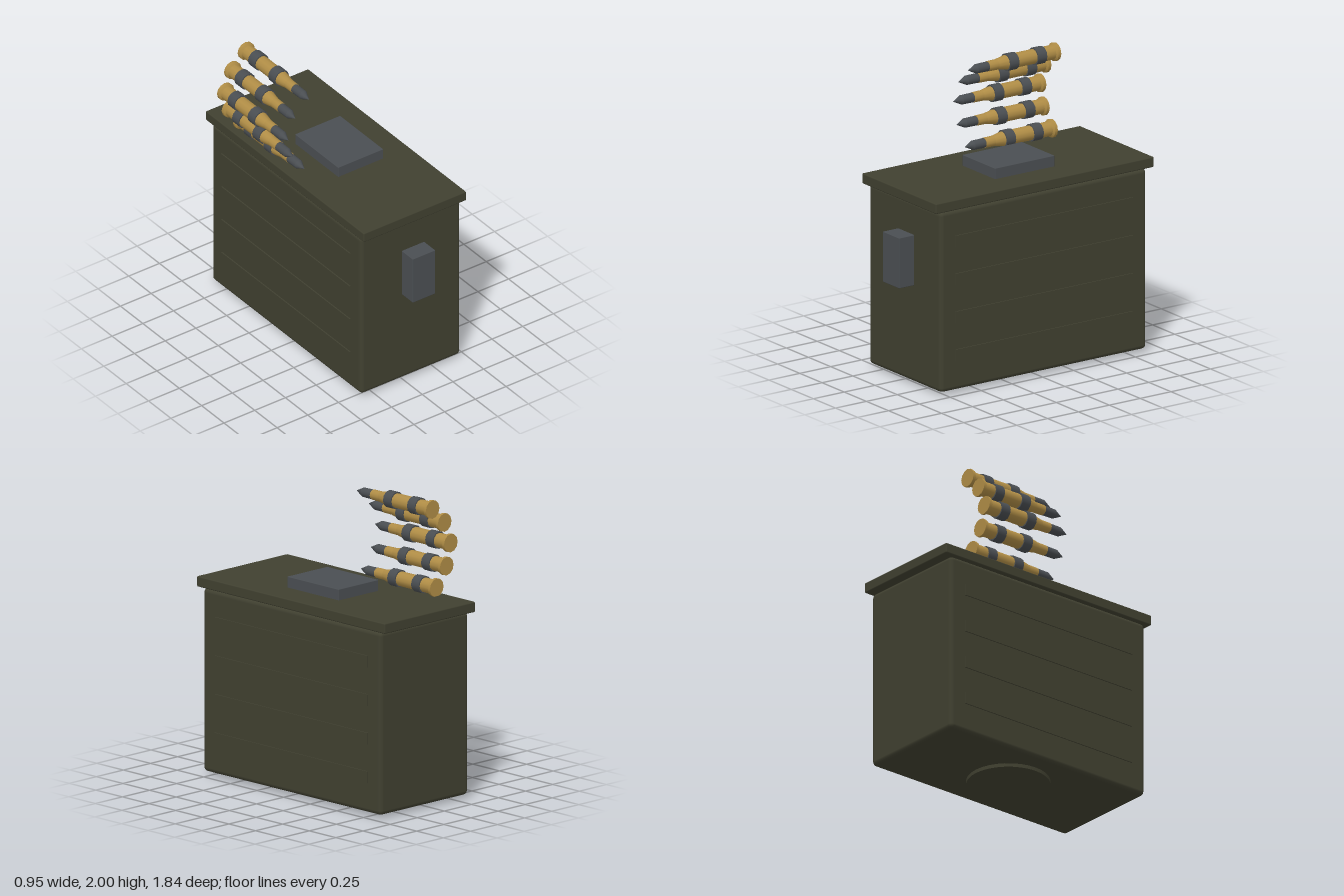
import * as THREE from 'three';
import { RoundedBoxGeometry } from 'three/addons/geometries/RoundedBoxGeometry.js';

const material = (name, color) => {
  const m = new THREE.MeshStandardMaterial({ color });
  m.name = name;
  return m;
};

export function createModel() {
  const olive = material('olive paint', 0x404030);
  const steel = material('dark steel', 0x4a4e52);
  const brass = material('brass', 0xb08d46);
  const group = new THREE.Group();
  group.name = 'ammunitionCan';
  const CX = 0.055, CZ = -0.036;

  const add = (parent, name, geometry, mat, x = 0, y = 0, z = 0) => {
    const mesh = new THREE.Mesh(geometry, mat);
    mesh.name = name;
    mesh.position.set(x, y, z);
    parent.add(mesh);
    return mesh;
  };
  // Box given by its minimum and maximum corners, with softened edges
  const block = (name, mat, a, b, radius) => add(group, name,
    new RoundedBoxGeometry(b[0] - a[0], b[1] - a[1], b[2] - a[2], 2, radius), mat,
    (a[0] + b[0]) / 2, (a[1] + b[1]) / 2, (a[2] + b[2]) / 2);

  // Can, lid and fittings
  block('canBody', olive, [-0.352, 0.025, -0.872], [0.462, 1.27, 0.8], 0.03);
  block('lid', olive, [-0.363, 1.272, -0.922], [0.472, 1.343, 0.845], 0.008);
  block('lidPlate', steel, [-0.11, 1.33, -0.27], [0.257, 1.418, 0.212], 0.004);
  block('frontLatch', steel, [-0.02, 0.695, 0.78], [0.163, 1.043, 0.922], 0.004);
  add(group, 'basePad', new THREE.CylinderGeometry(0.278, 0.278, 0.04, 32), olive, CX, 0.02, CZ);

  // Raised ribs on both long sides
  for (const side of [-1, 1]) {
    for (let i = 0; i < 4; i++) {
      add(group, 'sideRib', new THREE.BoxGeometry(0.02, 0.08, 1.436), olive,
        CX + side * 0.405, 0.268 + i * 0.262, -0.035);
    }
  }

  // Turned part along z; each pair of points is one crisp profile segment
  const turned = (parent, name, profile, mat) => {
    for (let i = 1; i < profile.length; i++) {
      const points = [profile[i - 1], profile[i]].map(([r, z]) => new THREE.Vector2(r, z));
      const geometry = new THREE.LatheGeometry(points, 12);
      geometry.rotateX(Math.PI / 2);
      add(parent, name, geometry, mat);
    }
  };

  // Curved belt of cartridges rising above the lid
  const centres = [[-0.283, 1.4], [-0.375, 1.53], [-0.413, 1.68], [-0.356, 1.83], [-0.245, 1.938]];
  for (const [x, y] of centres) {
    const round = new THREE.Group();
    round.name = 'cartridge';
    round.position.set(x, y, 0);
    group.add(round);
    turned(round, 'case', [[0, -0.641], [0.063, -0.641], [0.063, -0.62], [0.05, -0.61],
      [0.05, -0.235], [0.036, -0.16], [0.035, -0.085], [0, -0.085]], brass);
    turned(round, 'bullet', [[0.033, -0.09], [0.032, 0.005], [0, 0.072]], steel);
    for (const z of [-0.27, -0.495]) {
      turned(round, 'beltLink', [[0.045, z - 0.036], [0.059, z - 0.036],
        [0.059, z + 0.036], [0.045, z + 0.036]], steel);
    }
  }
  return group;
}
